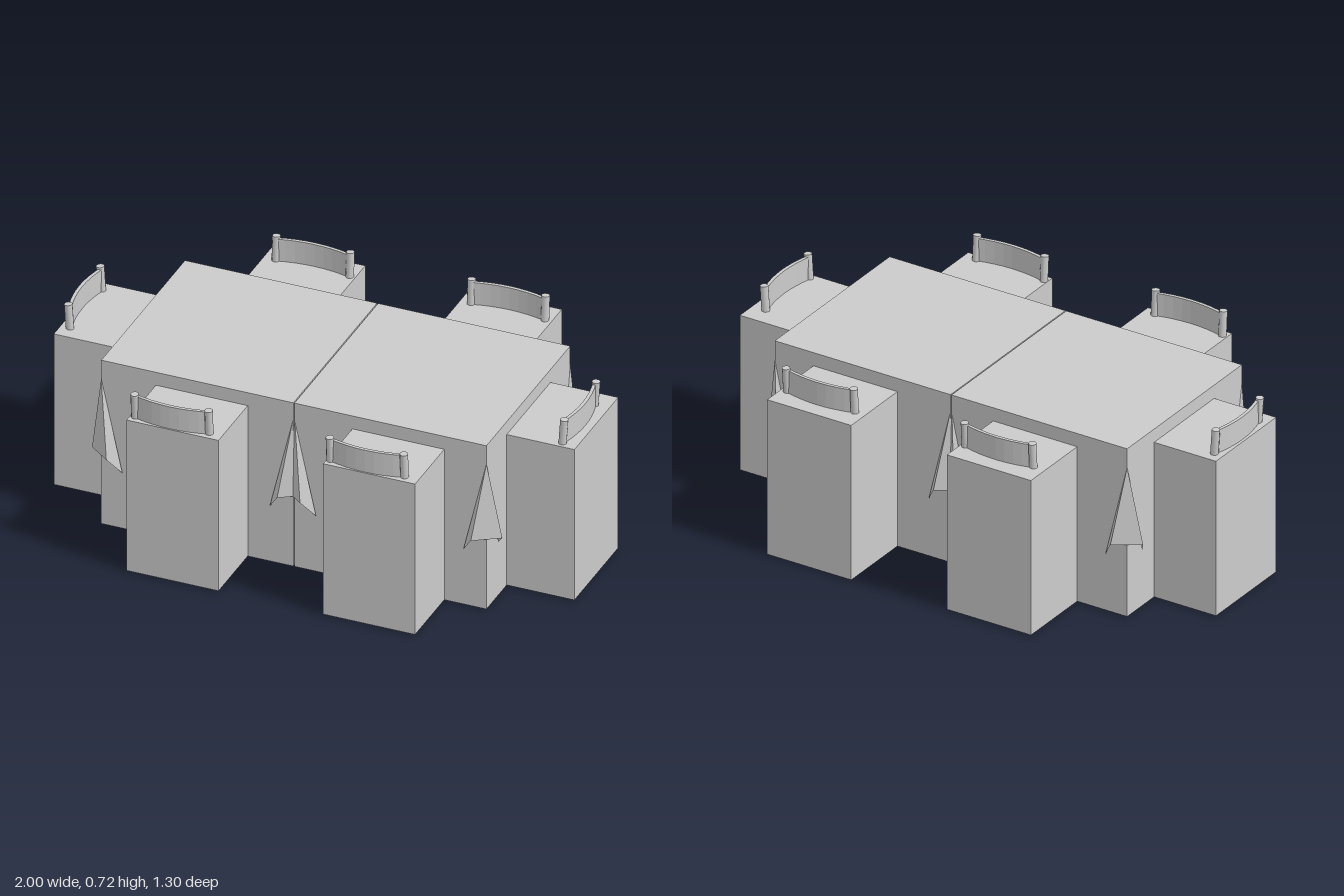
import * as THREE from 'three';

const mat = new THREE.MeshStandardMaterial({ color: 0xcccccc, flatShading: true, side: THREE.DoubleSide });
const smooth = new THREE.MeshStandardMaterial({ color: 0xcccccc, side: THREE.DoubleSide });

function add(parent, name, geometry, material = mat) {
  const mesh = new THREE.Mesh(geometry, material);
  mesh.name = name;
  parent.add(mesh);
  return mesh;
}

// Box cover without a bottom, given its x, y and z extents
function openCover(parent, name, [x0, x1], [y0, y1], [z0, z1]) {
  const g = new THREE.BoxGeometry(x1 - x0, y1 - y0, z1 - z0);
  const index = Array.from(g.index.array);
  index.splice(18, 6); // remove the downward face
  g.setIndex(index);
  g.translate((x0 + x1) / 2, (y0 + y1) / 2, (z0 + z1) / 2);
  return add(parent, name, g);
}

// Straight round bar between two points
function bar(parent, name, a, b, r) {
  const curve = new THREE.LineCurve3(new THREE.Vector3(...a), new THREE.Vector3(...b));
  const dir = curve.v2.clone().sub(curve.v1);
  const mesh = add(parent, name, new THREE.CylinderGeometry(r, r, dir.length(), 10), smooth);
  mesh.position.copy(curve.getPoint(0.5));
  mesh.quaternion.setFromUnitVectors(new THREE.Vector3(0, 1, 0), dir.normalize());
}

// Chair under its cover; the back is on local +z
function createChair(x, z, turn) {
  const chair = new THREE.Group();
  chair.name = 'chair';
  for (const s of [-1, 1]) {
    bar(chair, 'backLeg', [s * 0.142, 0, 0.148], [s * 0.142, 0.42, 0.14], 0.015);
    bar(chair, 'backPost', [s * 0.142, 0.42, 0.14], [s * 0.142, 0.72, 0.16], 0.015);
    bar(chair, 'frontLeg', [s * 0.142, 0, -0.15], [s * 0.142, 0.42, -0.15], 0.015);
  }
  const seat = add(chair, 'seat', new THREE.BoxGeometry(0.32, 0.03, 0.33));
  seat.position.set(0, 0.42, 0);

  // Bowed back slat
  const shape = new THREE.Shape();
  shape.moveTo(-0.142, 0.147);
  shape.quadraticCurveTo(0, 0.187, 0.142, 0.147);
  shape.lineTo(0.142, 0.159);
  shape.quadraticCurveTo(0, 0.201, -0.142, 0.159);
  const slat = new THREE.ExtrudeGeometry(shape, { depth: 0.14, bevelEnabled: false, curveSegments: 8 });
  slat.rotateX(Math.PI / 2);
  slat.translate(0, 0.712, 0);
  add(chair, 'backSlat', slat);

  chair.position.set(x, 0, z);
  chair.rotation.y = turn;
  return chair;
}

// Folded cloth hanging at a table corner; sx and sz point outward
function clothCorner(parent, x, z, sx, sz) {
  const offsets = [
    [0, 0.6, 0],            // top of the fold
    [-0.085, 0.235, 0.008], // front face tail
    [-0.04, 0.3, 0.047],    // front face ridge
    [0.048, 0.29, -0.03],   // side face ridge
    [0.008, 0.235, -0.085], // side face tail
  ];
  const g = new THREE.BufferGeometry();
  g.setAttribute('position', new THREE.Float32BufferAttribute(
    offsets.flatMap(([dx, y, dz]) => [x + sx * dx, y, z + sz * dz]), 3));
  g.setIndex(sx * sz > 0 ? [0, 1, 2, 0, 2, 3, 0, 3, 4] : [0, 2, 1, 0, 3, 2, 0, 4, 3]);
  g.computeVertexNormals();
  add(parent, 'clothCorner', g);
}

export function createModel() {
  const model = new THREE.Group();
  model.name = 'diningSet';
  const zBack = -0.355, zFront = 0.39, floor = 0.003;

  // Two covered tables side by side, each on an octagonal foot
  for (const s of [-1, 1]) {
    const table = new THREE.Group();
    table.name = 'table';
    model.add(table);
    const xs = [s * 0.002, s * 0.74].sort((a, b) => a - b);
    openCover(table, 'tableCover', xs, [floor, 0.675], [zBack, zFront]);
    const foot = add(table, 'pedestalFoot', new THREE.CylinderGeometry(0.238, 0.238, 0.015, 8, 1, false, Math.PI / 8));
    foot.position.set(s * 0.375, 0.0075, 0.018);
    const column = add(table, 'pedestalColumn', new THREE.CylinderGeometry(0.035, 0.035, 0.64, 8));
    column.position.set(s * 0.375, 0.33, 0.018);
    for (const [z, sz] of [[zBack, -1], [zFront, 1]]) {
      clothCorner(table, s * 0.74, z, s, sz);
      clothCorner(table, s * 0.004, z, -s, sz);
    }
  }

  // Chair covers and chairs along the front and back
  const coverY = [floor, 0.622];
  for (const [x0, shift] of [[-0.53, 0], [0.225, 0.75]]) {
    const xs = [x0, x0 + 0.353];
    openCover(model, 'frontChairCover', xs, coverY, [0.23, 0.65]);
    openCover(model, 'backChairCover', xs, coverY, [-0.655, -0.235]);
    model.add(createChair(-0.368 + shift, 0.465, 0));
    model.add(createChair(-0.34 + shift, -0.412, Math.PI));
  }

  // Chairs at both ends
  openCover(model, 'leftEndCover', [0.58, 1], coverY, [-0.18, 0.21]);
  openCover(model, 'rightEndCover', [-1, -0.58], coverY, [-0.18, 0.21]);
  model.add(createChair(0.79, 0.042, Math.PI / 2));
  model.add(createChair(-0.81, 0.008, -Math.PI / 2));
  return model;
}
